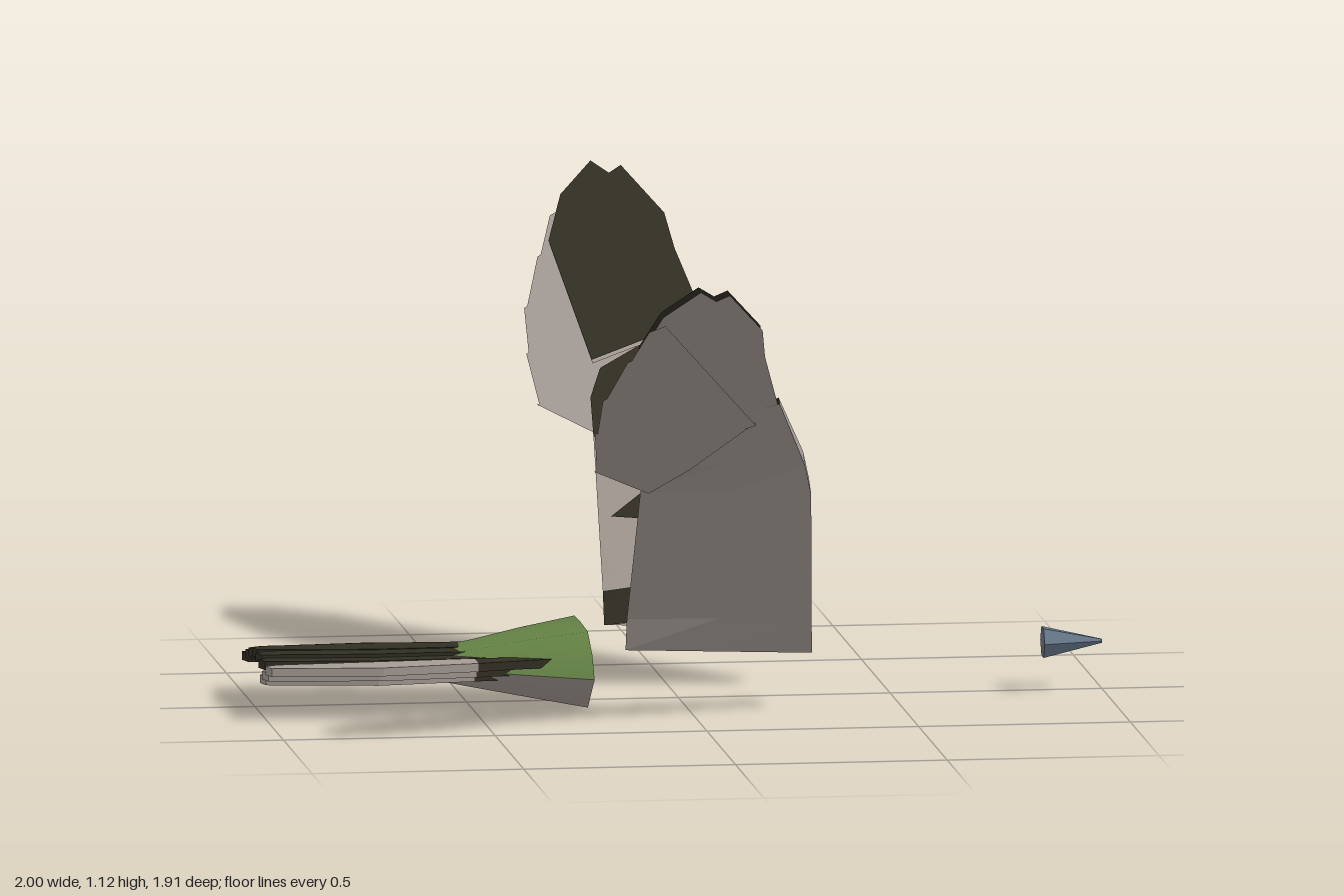
import * as THREE from 'three';

const mat = (name, color) => {
  const m = new THREE.MeshStandardMaterial({ color, side: THREE.DoubleSide });
  m.name = name;
  return m;
};

export function createModel() {
  const model = new THREE.Group();
  const dark = mat('dark olive', 0x322f24);
  const pale = mat('pale grey', 0xa59c95);
  const green = mat('moss green', 0x668547);
  const slate = mat('slate beak', 0x66788a);

  const add = (parent, name, geometry, material) => {
    const mesh = new THREE.Mesh(geometry, material);
    mesh.name = name;
    parent.add(mesh);
    return mesh;
  };

  // Surface stretched between rows of points
  const loft = (rows, flip = false, flat = false) => {
    const n = rows[0].length, index = [];
    for (let i = 0; i < rows.length - 1; i++) {
      for (let j = 0; j < n - 1; j++) {
        const a = i * n + j, b = a + 1, c = a + n, d = c + 1;
        index.push(...(flip ? [a, b, c, b, d, c] : [a, c, b, b, c, d]));
      }
    }
    let g = new THREE.BufferGeometry();
    g.setAttribute('position', new THREE.Float32BufferAttribute(rows.flat(2), 3));
    g.setIndex(index);
    if (flat) g = g.toNonIndexed();
    g.computeVertexNormals();
    return g;
  };

  // Flat sheet: outline in x and z, height from a sloping plane
  const sheet = (outline, slope, base, side) => {
    const g = new THREE.ShapeGeometry(new THREE.Shape(outline.map(p => new THREE.Vector2(...p))));
    const p = g.attributes.position;
    for (let i = 0; i < p.count; i++) {
      const z = p.getY(i);
      p.setXYZ(i, p.getX(i), slope * z + base, side * z);
    }
    // keep the front of each face upward
    const ix = g.index;
    if (side > 0) {
      for (let i = 0; i < ix.count; i += 3) {
        const t = ix.getX(i);
        ix.setX(i, ix.getX(i + 1));
        ix.setX(i + 1, t);
      }
    }
    g.computeVertexNormals();
    return g;
  };

  // Beak
  const beakGeo = new THREE.CylinderGeometry(0.005, 0.04, 0.14, 6).toNonIndexed();
  beakGeo.computeVertexNormals();
  const beak = add(model, 'beak', beakGeo, slate);
  beak.rotation.z = -Math.PI / 2;
  beak.position.set(0.93, 0.113, 0);

  // Rump: open shell, green above and pale below
  // station: x, half width, top, seam, bottom
  const rump = [
    [-0.23, 0.24, 0.18, 0.085, 0.0],
    [-0.36, 0.185, 0.16, 0.088, 0.022],
    [-0.48, 0.14, 0.137, 0.092, 0.043],
    [-0.62, 0.07, 0.115, 0.095, 0.067],
  ];
  const over = [[-1, 0], [-0.83, 0.55], [-0.5, 1], [0, 1.03], [0.5, 1], [0.83, 0.55], [1, 0]];
  const under = [[-1, 0], [-0.5, 1], [0, 1], [0.5, 1], [1, 0]];
  add(model, 'rumpTop', loft(rump.map(([x, w, t, s]) =>
    over.map(([u, v]) => [x, s + (t - s) * v, u * w])), true), green);
  add(model, 'rumpBelly', loft(rump.map(([x, w, , s, b]) =>
    under.map(([u, v]) => [x, s + (b - s) * v, u * w]))), pale);

  // Tail feathers: z at root, middle and tip, then height and colour
  const tail = new THREE.Group();
  tail.name = 'tail';
  model.add(tail);
  const slab = (outline, y, material, name) => {
    const shape = new THREE.Shape(outline.map(([x, z]) => new THREE.Vector2(x, -z)));
    const g = new THREE.ExtrudeGeometry(shape, { depth: 0.02, bevelEnabled: false });
    g.rotateX(-Math.PI / 2);
    g.translate(0, y - 0.01, 0);
    add(tail, name, g, material);
  };
  [
    [-0.15, -0.205, -0.215, 0.085, dark],
    [-0.13, -0.165, -0.15, 0.1, dark],
    [-0.085, -0.1, -0.1, 0.112, dark],
    [-0.03, -0.035, -0.04, 0.122, dark],
    [0.03, 0.025, 0.025, 0.12, dark],
    [0.075, 0.075, 0.075, 0.112, dark],
    [0.12, 0.145, 0.14, 0.095, pale],
    [0.15, 0.2, 0.2, 0.115, pale],
    [0.08, 0.12, 0.1, 0.08, pale],
  ].forEach(([r, m, t, y, colour]) => {
    const q = r + (m - r) * 0.45;
    slab([[-0.31, r - 0.018], [-0.5, q - 0.038], [-0.5, q + 0.038], [-0.31, r + 0.018]],
      y, dark, 'tailFeatherBase');
    slab([[-0.5, q - 0.038], [-0.73, m - 0.047], [-0.97, t - 0.03], [-1, t - 0.012],
      [-0.99, t + 0.024], [-0.73, m + 0.047], [-0.5, q + 0.038]], y, colour, 'tailFeather');
  });

  // Wings: lead x, z, y; trail x, z, y; drop of the thick leading edge
  const stations = [
    [0.29, 0.14, 0.172, -0.15, 0.187, 0.145, 0.052],
    [0.28, 0.205, 0.265, -0.15, 0.21, 0.222, 0.05],
    [0.25, 0.43, 0.585, -0.145, 0.41, 0.555, 0.042],
    [0.23, 0.477, 0.655, -0.14, 0.5, 0.635, 0.036],
    [0.15, 0.645, 0.81, -0.11, 0.555, 0.695, 0.015],
  ];
  const tipOutline = [[-0.13, 0.555], [-0.2, 0.79], [-0.16, 0.88], [-0.08, 0.945], [-0.04, 0.92],
    [-0.01, 0.935], [0.08, 0.84], [0.095, 0.77], [0.145, 0.635]];
  const fan = [[-0.13, 0.44], [-0.26, 0.5], [-0.272, 0.6], [-0.265, 0.69], [-0.22, 0.79], [-0.18, 0.87]];

  for (const side of [1, -1]) {
    const wing = new THREE.Group();
    wing.name = side > 0 ? 'rightWing' : 'leftWing';
    model.add(wing);

    const upper = stations.map(([lx, lz, ly, tx, tz, ty]) => [0, 0.4, 1].map(k => [
      lx + (tx - lx) * k,
      ly + (ty - ly) * k + (k === 0.4 ? 0.006 : 0),
      side * (lz + (tz - lz) * k)]));
    const lower = stations.map(([lx, lz, ly, tx, tz, ty, d], i) => [
      upper[i][0],
      [lx, ly - d * 0.8, side * (lz + d)],
      [lx + (tx - lx) * 0.5, (ly + ty) / 2 - d * 0.4, side * ((lz + tz) / 2 + d * 0.5)],
      [tx, ty, side * tz]]);

    // coloured bands on the upper side, pale underside
    add(wing, 'shoulderBand', loft(upper.slice(0, 2), side < 0), dark);
    add(wing, 'paleBand', loft(upper.slice(1, 3), side < 0), pale);
    add(wing, 'wristBand', loft(upper.slice(2), side < 0), dark);
    add(wing, 'wingUnderside', loft(lower, side > 0, true), pale);

    // dark outer feathers over a pale lining
    add(wing, 'outerFeathers', sheet(tipOutline, 1.05, 0.132, side), dark);
    add(wing, 'outerLining', sheet(tipOutline.map(([x, z]) => [x + 0.004, z + 0.012]),
      1.05, 0.109, side), pale);

    // fan of pale trailing feathers
    for (let i = 0; i < fan.length - 1; i++) {
      const [ax, az] = fan[i], [bx, bz] = fan[i + 1];
      add(wing, 'fanFeather', sheet([[0.1, 0.62], [-0.04, 0.5 + i * 0.02], [ax, az],
        [bx - 0.006, bz], [bx + 0.03, bz + 0.015]], 1.07, 0.085 - i * 0.002, side), pale);
    }
  }

  // Dark fleck on one pale band
  add(model, 'wingFleck', sheet([[-0.12, 0.29], [-0.02, 0.335], [-0.025, 0.285]], 1.45, -0.035, -1), dark);

  return model;
}
